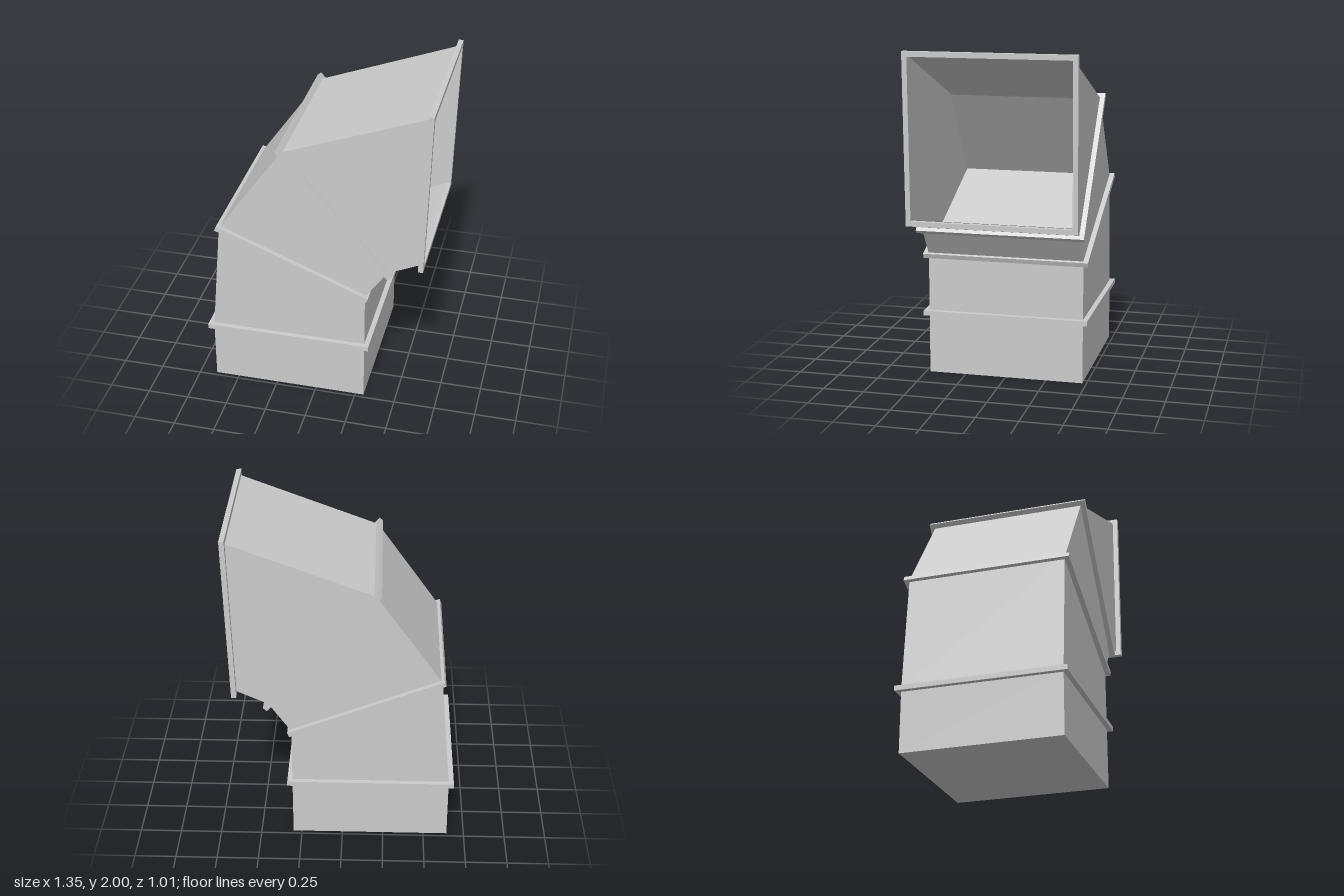
import * as THREE from 'three';

const HALF_DEPTH = 0.475;
const FLANGE_HALF_DEPTH = 0.505;
const THICKNESS = 0.03;
const BORDER = 0.03;

// Duct stations: [outer x, y] and [inner x, y] of the elbow at each joint
const STATIONS = [
  { outer: [-0.645, 0], inner: [0.303, 0] },
  { outer: [-0.645, 0.38], inner: [0.303, 0.38] },
  { outer: [-0.583, 1.1], inner: [0.303, 0.745] },
  { outer: [-0.193, 1.657], inner: [0.435, 0.935] },
  { outer: [0.655, 1.975], inner: [0.632, 1.025] },
];

// Flange centre lines, open ones have a hole for the duct
const FLANGES = [
  { name: 'lowerFlange', from: [-0.675, 0.38], to: [0.333, 0.38], open: false },
  { name: 'middleFlange', from: [-0.598, 1.106], to: [0.32, 0.735], open: false },
  { name: 'upperFlange', from: [-0.212, 1.677], to: [0.452, 0.913], open: true },
  { name: 'outletFlange', from: [0.66, 2.0], to: [0.632, 0.99], open: true },
];

const material = new THREE.MeshStandardMaterial({
  color: 0xcccccc, flatShading: true, side: THREE.DoubleSide,
});

// Four corners of the duct at one station
function ring({ outer, inner }) {
  return [
    [...outer, HALF_DEPTH], [...inner, HALF_DEPTH],
    [...inner, -HALF_DEPTH], [...outer, -HALF_DEPTH],
  ];
}

function quadGeometry(quads) {
  const positions = quads.flatMap(([a, b, c, d]) => [a, b, c, a, c, d].flat());
  const geometry = new THREE.BufferGeometry();
  geometry.setAttribute('position', new THREE.Float32BufferAttribute(positions, 3));
  geometry.computeVertexNormals();
  return geometry;
}

// Four walls between two stations
function ductSection(lower, upper) {
  const a = ring(lower);
  const b = ring(upper);
  return quadGeometry(a.map((p, i) => {
    const j = (i + 1) % 4;
    return [p, a[j], b[j], b[i]];
  }));
}

function rectangle(target, w, h) {
  target.moveTo(-w, -h);
  target.lineTo(w, -h);
  target.lineTo(w, h);
  target.lineTo(-w, h);
  target.closePath();
  return target;
}

// Flat plate or frame lying along a joint
function flange({ from, to, open }) {
  const start = new THREE.Vector3(...from, 0);
  const end = new THREE.Vector3(...to, 0);
  const half = start.distanceTo(end) / 2;
  const shape = rectangle(new THREE.Shape(), half, FLANGE_HALF_DEPTH);
  if (open) {
    shape.holes.push(rectangle(new THREE.Path(), half - BORDER, FLANGE_HALF_DEPTH - BORDER));
  }
  const geometry = new THREE.ExtrudeGeometry(shape, { depth: THICKNESS, bevelEnabled: false });
  geometry.translate(0, 0, -THICKNESS / 2);

  const along = end.clone().sub(start).normalize();
  const across = new THREE.Vector3(0, 0, 1);
  const normal = along.clone().cross(across);
  const placement = new THREE.Matrix4().makeBasis(along, across, normal);
  placement.setPosition(start.add(end).multiplyScalar(0.5));
  return geometry.applyMatrix4(placement);
}

export function createModel() {
  const model = new THREE.Group();
  model.name = 'ductElbow';
  const add = (name, geometry) => {
    const mesh = new THREE.Mesh(geometry, material);
    mesh.name = name;
    model.add(mesh);
  };

  // Duct walls
  const names = ['baseDuct', 'lowerElbow', 'middleElbow', 'outletElbow'];
  names.forEach((name, i) => add(name, ductSection(STATIONS[i], STATIONS[i + 1])));

  // Closed bottom
  add('bottomCap', quadGeometry([ring(STATIONS[0]).reverse()]));

  // Joint flanges
  FLANGES.forEach((f) => add(f.name, flange(f)));
  return model;
}
